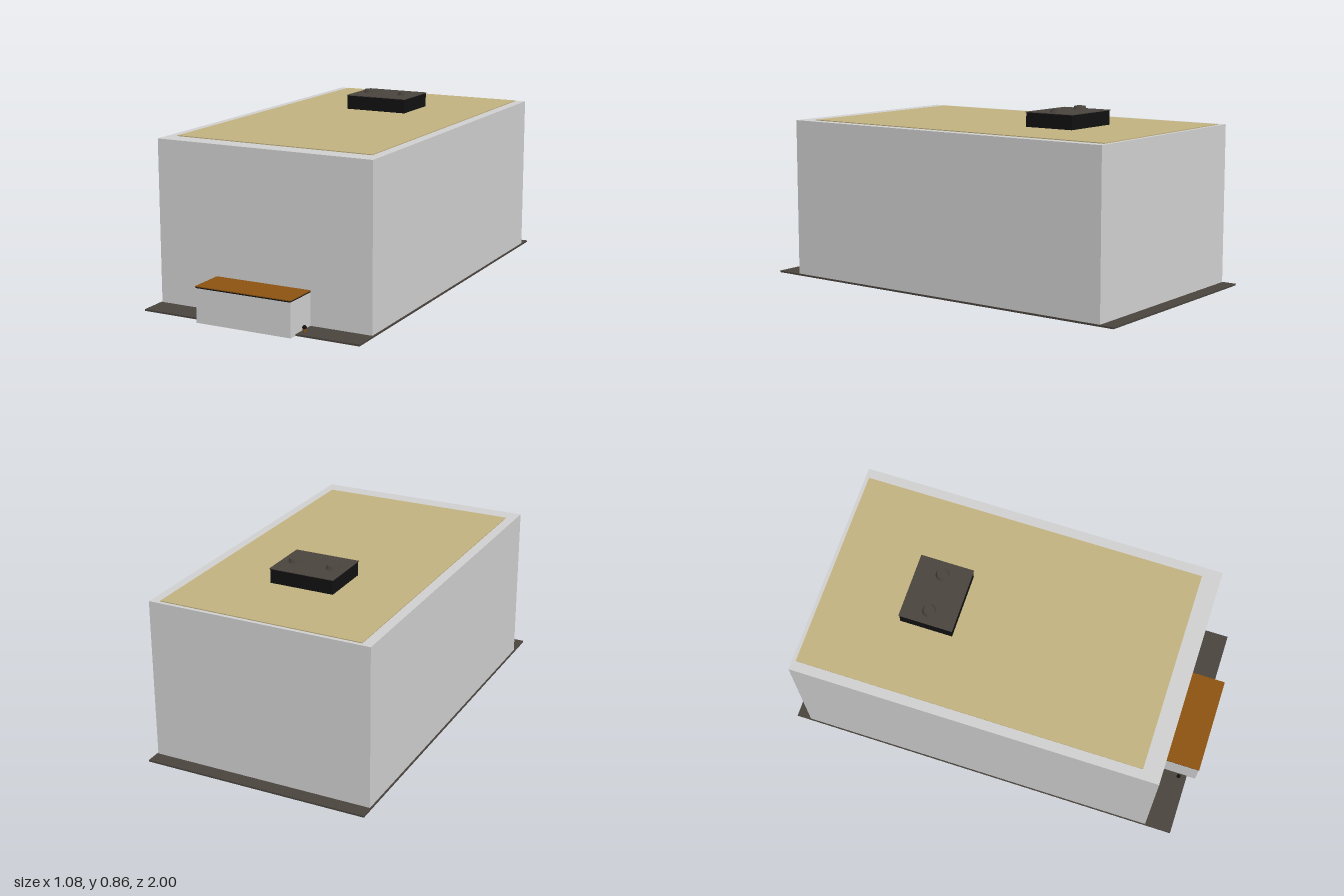
import * as THREE from 'three';

const mat = (name, color) => {
  const m = new THREE.MeshStandardMaterial({ color });
  m.name = name;
  return m;
};

export function createModel() {
  const wall = mat('light grey wall', 0xd0d0d0);
  const sand = mat('sand roofing', 0xc2b280);
  const paving = mat('dark paving', 0x4a443e);
  const black = mat('black', 0x111111);
  const copper = mat('brown canopy', 0x8b5311);

  const model = new THREE.Group();
  model.name = 'building';

  const add = (name, geometry, material, x = 0, y = 0, z = 0, parent = model) => {
    const mesh = new THREE.Mesh(geometry, material);
    mesh.name = name;
    mesh.position.set(x, y, z);
    parent.add(mesh);
    return mesh;
  };
  // Box given by its limits, centred on x = 0
  const block = (name, material, halfWidth, y0, y1, z0, z1, parent) =>
    add(name, new THREE.BoxGeometry(halfWidth * 2, y1 - y0, z1 - z0), material,
      0, (y0 + y1) / 2, (z0 + z1) / 2, parent);

  // Ground slab and main volume
  block('groundSlab', paving, 0.54, 0, 0.008, -1, 0.955);
  block('mainBuilding', wall, 0.535, 0.002, 0.765, -0.93, 0.826);
  block('roofSurface', sand, 0.488, 0.763, 0.769, -0.912, 0.738);

  // Entrance porch with a thin canopy
  const porch = new THREE.Group();
  porch.name = 'porch';
  model.add(porch);
  block('porchWalls', wall, 0.236, 0.001, 0.159, 0.82, 0.998, porch);
  block('canopyTrim', black, 0.237, 0.159, 0.164, 0.826, 1, porch);
  block('canopy', copper, 0.238, 0.164, 0.168, 0.826, 1, porch);

  // Rooftop plant unit
  const unit = new THREE.Group();
  unit.name = 'rooftopUnit';
  model.add(unit);
  block('unitBody', black, 0.156, 0.767, 0.836, -0.524, -0.272, unit);
  block('unitLid', paving, 0.159, 0.836, 0.839, -0.527, -0.269, unit);

  for (const side of [-1, 1]) {
    // Tapered roof vents
    add('vent', new THREE.CylinderGeometry(0.026, 0.033, 0.017, 16), paving,
      side * 0.094, 0.847, -0.4, unit);

    // Potted shrubs beside the porch
    const planter = new THREE.Group();
    planter.name = 'planter';
    planter.position.set(side * 0.257, 0.008, 0.916);
    model.add(planter);
    add('pot', new THREE.CylinderGeometry(0.009, 0.006, 0.02, 12), copper, 0, 0.01, 0, planter);
    add('shrub', new THREE.SphereGeometry(0.01, 12, 8), black, 0, 0.022, 0, planter);
  }

  return model;
}
